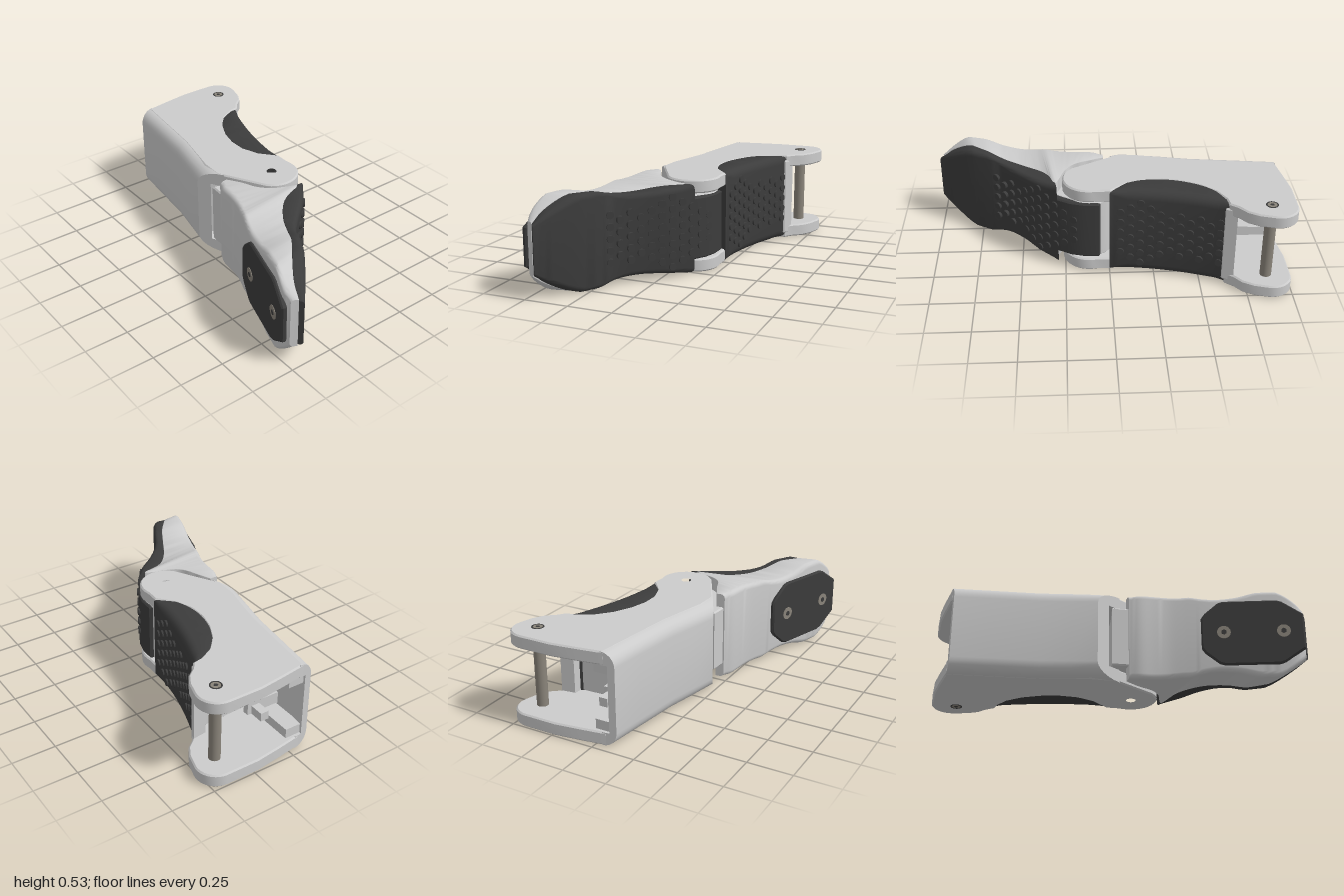
import * as THREE from 'three';
import { toCreasedNormals } from 'three/addons/utils/BufferGeometryUtils.js';

const MID = 0.2625, TOP = 0.525;
const HINGE = [0.07, 0.11], PIN = [0.405, -0.86];
const grey = new THREE.MeshStandardMaterial({ color: 0xcccccc });
const dark = new THREE.MeshStandardMaterial({ color: 0x3c3c3c });
const steel = new THREE.MeshStandardMaterial({ color: 0x8a847a });

function add(parent, name, geo, mat) {
  const mesh = new THREE.Mesh(geo, mat);
  mesh.name = name;
  parent.add(mesh);
  return mesh;
}

// Plan outline [x, z] extruded from y0 to y1, with optional round holes [x, z, r]
function slab(pts, y0, y1, holes = []) {
  const bevel = 0.008;
  const shape = new THREE.Shape(pts.map(([x, z]) => new THREE.Vector2(x, -z)));
  for (const [x, z, r] of holes) shape.holes.push(new THREE.Path().absarc(x, -z, r, 0, Math.PI * 2, true));
  const geo = new THREE.ExtrudeGeometry(shape, {
    depth: y1 - y0 - 2 * bevel, bevelSize: bevel, bevelThickness: bevel,
    bevelOffset: -bevel, bevelSegments: 1, curveSegments: 20,
  });
  geo.rotateX(-Math.PI / 2).translate(0, y0 + bevel, 0);
  return toCreasedNormals(geo, 0.4);
}

// Points of an arc in plan, angles in degrees from +x towards +z
function arc([cx, cz], r, a0, a1, n = 14) {
  return Array.from({ length: n + 1 }, (_, i) => {
    const a = THREE.MathUtils.degToRad(a0 + (a1 - a0) * i / n);
    return [cx + r * Math.cos(a), cz + r * Math.sin(a)];
  });
}

// Skin through rings of equal length; contour2d triangulates the end caps
function skin(rings, contour2d) {
  const n = rings[0].length, pos = [], idx = [];
  rings.forEach(r => r.forEach(p => pos.push(...p)));
  for (let i = 0; i < rings.length - 1; i++) {
    for (let j = 0; j < n; j++) {
      const a = i * n + j, b = i * n + (j + 1) % n;
      idx.push(a, b, a + n, b, b + n, a + n);
    }
  }
  const last = (rings.length - 1) * n;
  for (const [a, b, c] of THREE.ShapeUtils.triangulateShape(contour2d, [])) {
    idx.push(c, b, a, last + a, last + b, last + c);
  }
  const geo = new THREE.BufferGeometry();
  geo.setAttribute('position', new THREE.Float32BufferAttribute(pos, 3));
  geo.setIndex(idx);
  return toCreasedNormals(geo, 0.6);
}

// Rounded rectangle of width w, half height h, with back and front corner radii
function roundRect(w, h, rb, rf, k = 5) {
  rb = Math.min(rb, w * 0.45);
  rf = Math.min(rf, w * 0.45);
  const out = [];
  [[w - rf, -h + rf, rf, -90], [w - rf, h - rf, rf, 0], [rb, h - rb, rb, 90], [rb, -h + rb, rb, 180]]
    .forEach(([u, v, r, a]) => arc([u, v], r, a, a + 90, k).forEach(p => out.push(new THREE.Vector2(...p))));
  return out;
}

// Loft along stations [backX, backZ, frontX, frontZ, halfHeight]
function loft(stations, rb, rf) {
  const p = new THREE.CatmullRomCurve3(stations.map(s => new THREE.Vector3(s[0], s[4], s[1])));
  const q = new THREE.CatmullRomCurve3(stations.map(s => new THREE.Vector3(s[2], s[4], s[3])));
  const steps = (stations.length - 1) * 4, rings = [];
  let contour;
  for (let i = 0; i <= steps; i++) {
    const a = p.getPoint(i / steps), b = q.getPoint(i / steps);
    const w = Math.hypot(b.x - a.x, b.z - a.z);
    const sec = roundRect(w, Math.min(a.y, MID), rb, rf);
    if (i === 0) contour = sec;
    rings.push(sec.map(s => [a.x + (b.x - a.x) * s.x / w, MID + s.y, a.z + (b.z - a.z) * s.x / w]));
  }
  return skin(rings, contour);
}

// Staggered round studs: one column per count, spread along a plan path
function studs(parent, name, path, counts) {
  const group = new THREE.Group();
  group.name = name;
  const curve = new THREE.CatmullRomCurve3(path.map(([x, z]) => new THREE.Vector3(x, 0, z)));
  const geo = new THREE.CylinderGeometry(0.021, 0.022, 0.02, 16);
  counts.forEach((count, i) => {
    const t = i / (counts.length - 1), c = curve.getPointAt(t), d = curve.getTangentAt(t);
    const normal = new THREE.Vector3(d.z, 0, -d.x);
    if (normal.x < 0) normal.negate();
    for (let k = 0; k < count; k++) {
      const stud = add(group, 'gripStud', geo, dark);
      stud.position.set(c.x, MID + (k - (count - 1) / 2) * 0.065, c.z);
      stud.quaternion.setFromUnitVectors(new THREE.Vector3(0, 1, 0), normal);
    }
  });
  parent.add(group);
}

function buildUpperSegment() {
  const g = new THREE.Group();
  g.name = 'upperSegment';

  // Top and bottom fork plates, scooped out for the pad
  const outline = [
    [-0.06, -0.958], [0.08, -0.98], [0.23, -1], ...arc([0.42, -0.888], 0.112, -90, 20, 10),
    [0.505, -0.78], [0.47, -0.72], [0.42, -0.68], [0.385, -0.635], [0.33, -0.625], [0.25, -0.58],
    [0.18, -0.5], [0.13, -0.4], [0.105, -0.3], [0.105, -0.2], [0.14, -0.1], [0.218, -0.005],
    ...arc(HINGE, 0.15, -15, 140), [-0.19, -0.055], [-0.185, -0.18], [-0.12, -0.47],
  ];
  const holes = [[...HINGE, 0.036]];
  add(g, 'bottomPlate', slab(outline, 0, 0.075, holes), grey);
  add(g, 'topPlate', slab(outline, 0.45, TOP, holes), grey);

  // Rounded channel wall along the back, its lower end cut on the slant of the hinge
  const c = [[0.08, 0.075], [0.04, 0.075], [0.04, 0.45], [0.08, 0.45],
    ...arc([0.08, 0.445], 0.08, 90, 180, 6), ...arc([0.08, 0.08], 0.08, 180, 270, 6)];
  const contour = c.map(p => new THREE.Vector2(...p));
  const back = [[-0.12, -0.95, -0.12], [-0.145, -0.75, -0.1], [-0.18, -0.47, 0], [-0.215, -0.31, 0.3], [-0.25, -0.16, 1.8]];
  add(g, 'backWall', skin(back.map(([x, z, skew]) => contour.map(p => [x + p.x, p.y, z + p.x * skew])), contour), grey);

  // Solid core behind the pad, and the post beside the fork
  add(g, 'core', slab([[-0.13, -0.6], [0.34, -0.62], [0.2, -0.06], [-0.1, -0.1], [-0.2, -0.17]], 0.07, 0.455), grey);
  add(g, 'forkPost', slab([[0.33, -0.67], [0.41, -0.68], [0.385, -0.62], [0.32, -0.6]], 0.03, 0.495), grey);

  // Clips inside the open end, mirrored top and bottom
  for (const s of [-1, 1]) {
    const clip = (name, w, h, d, x, y, z) =>
      add(g, name, new THREE.BoxGeometry(w, h, d), grey).position.set(x, MID + s * y, z);
    clip('clipRail', 0.1, 0.055, 0.24, -0.04, 0.16, -0.82);
    clip('clipUpright', 0.2, 0.07, 0.035, 0, 0.1, -0.71);
    clip('clipTab', 0.05, 0.05, 0.1, 0.05, 0.11, -0.76);
  }

  // Grip pad
  add(g, 'upperPad', loft([
    [0.33, -0.63, 0.385, -0.64, 0.255], [0.22, -0.56, 0.352, -0.56, 0.26], [0.13, -0.41, 0.302, -0.41, 0.26],
    [0.1, -0.25, 0.262, -0.25, 0.26], [0.13, -0.1, 0.237, -0.1, 0.26], [0.19, -0.01, 0.222, 0, 0.255],
  ], 0.003, 0.05), dark);
  studs(g, 'upperStuds', [[0.366, -0.6], [0.302, -0.41], [0.262, -0.25], [0.231, -0.06]],
    [5, 4, 5, 4, 5, 4, 5, 6, 7, 6, 5]);

  // Cross pin with a recessed head at both ends
  add(g, 'crossPin', new THREE.CylinderGeometry(0.032, 0.032, 0.51, 24), steel).position.set(PIN[0], MID, PIN[1]);
  for (const y of [0.002, TOP - 0.002]) {
    const ring = add(g, 'pinRim', new THREE.TorusGeometry(0.03, 0.005, 8, 24), dark);
    ring.rotation.x = Math.PI / 2;
    ring.position.set(PIN[0], y, PIN[1]);
    add(g, 'pinHead', new THREE.CylinderGeometry(0.026, 0.026, 0.006, 20), steel).position.set(PIN[0], y, PIN[1]);
    add(g, 'pinSocket', new THREE.CylinderGeometry(0.012, 0.012, 0.008, 6), dark).position.set(PIN[0], y, PIN[1]);
  }
  return g;
}

function buildFingertip() {
  const g = new THREE.Group();
  g.name = 'fingertip';

  // Body: back edge to pad seam
  add(g, 'tipBody', loft([
    [-0.225, 0.025, -0.175, 0.02, 0.255], [-0.25, 0.08, -0.135, 0.1, 0.26], [-0.26, 0.16, -0.095, 0.19, 0.26],
    [-0.275, 0.24, -0.03, 0.245, 0.255], [-0.3, 0.31, 0.05, 0.275, 0.25], [-0.32, 0.36, 0.1, 0.3, 0.25],
    [-0.345, 0.42, -0.04, 0.36, 0.235], [-0.375, 0.5, -0.14, 0.47, 0.225], [-0.41, 0.61, -0.21, 0.59, 0.235],
    [-0.445, 0.72, -0.27, 0.695, 0.262], [-0.475, 0.82, -0.345, 0.79, 0.262], [-0.5, 0.91, -0.43, 0.91, 0.198],
    [-0.49, 0.96, -0.455, 0.98, 0.145],
  ], 0.03, 0.003), grey);

  // Pad: seam to gripping face
  add(g, 'tipPad', loft([
    [0.09, 0.3, 0.15, 0.29, 0.25], [-0.04, 0.36, 0.06, 0.4, 0.237], [-0.14, 0.47, -0.055, 0.5, 0.226],
    [-0.21, 0.59, -0.165, 0.61, 0.236], [-0.27, 0.695, -0.215, 0.7, 0.262], [-0.345, 0.79, -0.265, 0.79, 0.262],
    [-0.43, 0.91, -0.37, 0.925, 0.192], [-0.46, 0.97, -0.435, 1, 0.135],
  ], 0.003, 0.03), dark);

  // Knuckle between the fork plates, with its pad strip
  add(g, 'knuckle', slab([[-0.21, -0.07], [-0.05, -0.04], ...arc(HINGE, 0.138, -90, 45, 12),
    [0.1, 0.31], [-0.1, 0.32], [-0.23, 0.2]], 0.085, 0.44, [[...HINGE, 0.036]]), grey);
  add(g, 'knucklePad', slab([[0.2, 0.05], [0.219, 0.06], [0.216, 0.14], [0.193, 0.22], [0.147, 0.295], [0.06, 0.38],
    [0, 0.38], [0.1, 0.25], [0.17, 0.17]], 0.088, 0.437), dark);
  studs(g, 'tipStuds', [[-0.185, 0.645], [-0.057, 0.5], [0.058, 0.398], [0.145, 0.295], [0.194, 0.2]],
    [5, 4, 5, 4, 5, 6, 7, 6, 5, 4, 3]);

  // Nail plate on the back with two screws
  const nail = new THREE.Group();
  nail.name = 'nail';
  nail.position.set(-0.427, MID, 0.682);
  nail.rotation.y = Math.atan2(-0.953, -0.3);
  const half = [[-0.285, 0.09], [-0.265, 0.12], [-0.19, 0.185], [-0.16, 0.195], [0.14, 0.195], [0.17, 0.185], [0.285, 0.105]];
  const pts = [...half, ...half.map(([x, y]) => [x, -y]).reverse()].map(p => new THREE.Vector2(...p));
  add(nail, 'nailPlate', toCreasedNormals(new THREE.ExtrudeGeometry(new THREE.Shape(pts), {
    depth: 0.014, bevelSize: 0.008, bevelThickness: 0.008, bevelOffset: -0.008, bevelSegments: 1,
  }), 0.5), dark);
  for (const x of [-0.16, 0.17]) {
    const head = add(nail, 'screwHead', new THREE.CylinderGeometry(0.038, 0.038, 0.008, 24), steel);
    const socket = add(nail, 'screwSocket', new THREE.CylinderGeometry(0.016, 0.016, 0.004, 6), dark);
    head.rotation.x = socket.rotation.x = Math.PI / 2;
    head.position.set(x, 0, 0.021);
    socket.position.set(x, 0, 0.025);
  }
  g.add(nail);
  return g;
}

export function createModel() {
  const model = new THREE.Group();
  model.name = 'gripperFinger';
  model.add(buildUpperSegment(), buildFingertip());
  return model;
}
